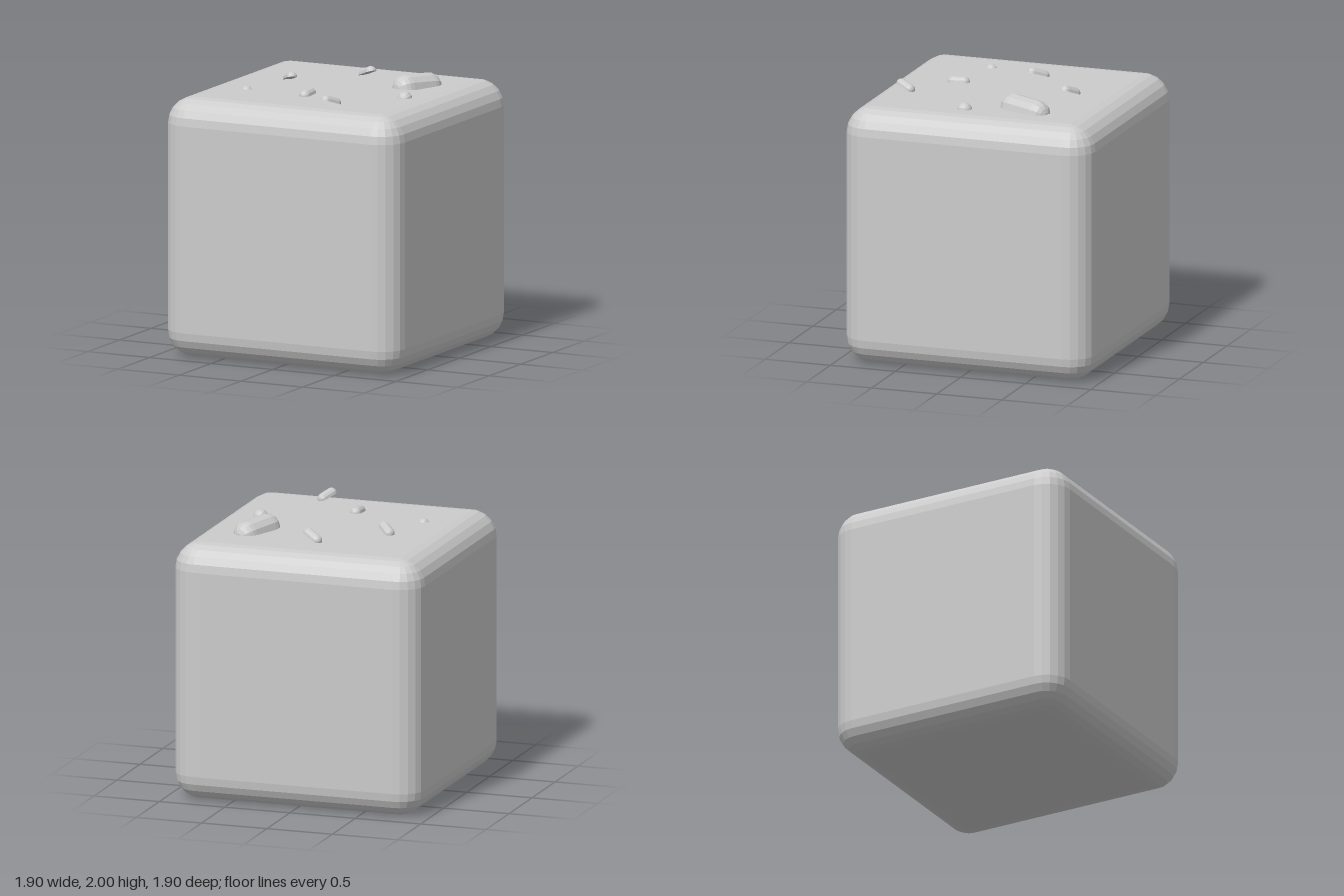
import * as THREE from 'three';

const material = new THREE.MeshStandardMaterial({ color: 0xcccccc, flatShading: true });

// Cube with edges and corners rounded in even angular steps, built from rounded-square rings.
function bevelledCube(size, radius, steps) {
  const c = size / 2 - radius;
  const positions = [];
  const indices = [];
  const n = 4 * (steps + 1);
  const rings = 2 * (steps + 1);
  for (let j = 0; j < rings; j++) {
    const upper = j > steps;
    const phi = ((upper ? j - 1 : j) / (2 * steps)) * Math.PI - Math.PI / 2;
    const y = (upper ? c : -c) + radius * Math.sin(phi);
    const r = radius * Math.cos(phi);
    for (let k = 0; k < 4; k++) {
      const sx = k === 0 || k === 3 ? c : -c;
      const sz = k < 2 ? c : -c;
      for (let i = 0; i <= steps; i++) {
        const a = (k + i / steps) * Math.PI / 2;
        positions.push(sx + r * Math.cos(a), y, sz + r * Math.sin(a));
      }
    }
  }
  for (let j = 0; j < rings - 1; j++) {
    for (let i = 0; i < n; i++) {
      const a = j * n + i;
      const b = j * n + (i + 1) % n;
      indices.push(a, a + n, b, b, a + n, b + n);
    }
  }
  // Flat bottom and top
  const q = steps + 1;
  const t = (rings - 1) * n;
  indices.push(0, q, 2 * q, 0, 2 * q, 3 * q);
  indices.push(t, t + 2 * q, t + q, t, t + 3 * q, t + 2 * q);
  const geometry = new THREE.BufferGeometry();
  geometry.setAttribute('position', new THREE.Float32BufferAttribute(positions, 3));
  geometry.setIndex(indices);
  geometry.computeVertexNormals();
  return geometry;
}

// Half capsule lying along z: domed on top, flat underneath.
function pebbleGeometry(radius, length) {
  const geometry = length > 0
    ? new THREE.CapsuleGeometry(radius, length, 5, 12)
    : new THREE.SphereGeometry(radius, 12, 10);
  geometry.rotateX(Math.PI / 2);
  const p = geometry.attributes.position;
  for (let i = 0; i < p.count; i++) p.setY(i, Math.max(0, p.getY(i)));
  geometry.computeVertexNormals();
  return geometry;
}

export function createModel() {
  const model = new THREE.Group();
  model.name = 'roundedBlock';

  const block = new THREE.Mesh(bevelledCube(1.9, 0.19, 5), material);
  block.name = 'block';
  block.position.y = 0.95;
  model.add(block);

  // name, position, radius, straight length, heading (dx, dz), upward tilt along heading
  const pebbles = [
    ['largePebble', [0.495, 1.895, -0.315], 0.1, 0.215, [-0.04, 0.105], 0.06],
    ['backPebble', [0.01, 1.928, -0.48], 0.042, 0.092, [0.87, 0.5], 0.35],
    ['rightPebble', [-0.415, 1.922, -0.08], 0.04, 0.095, [0.68, 0.73], 0.3],
    ['middlePebble', [-0.03, 1.915, 0.39], 0.042, 0.086, [0, 1], -0.05],
    ['frontPebble', [0.305, 1.938, 0.675], 0.04, 0.088, [-0.45, 0.89], 0.3],
    ['leftRoundPebble', [0.615, 1.89, 0.11], 0.056, 0, [0, 1], 0],
    ['rightRoundPebble', [-0.555, 1.88, 0.33], 0.044, 0, [0, 1], 0],
  ];
  for (const [name, position, radius, length, [dx, dz], tilt] of pebbles) {
    const pebble = new THREE.Mesh(pebbleGeometry(radius, length), material);
    pebble.name = name;
    pebble.position.set(...position);
    pebble.rotation.set(-tilt, Math.atan2(dx, dz), 0, 'YXZ');
    model.add(pebble);
  }
  return model;
}
